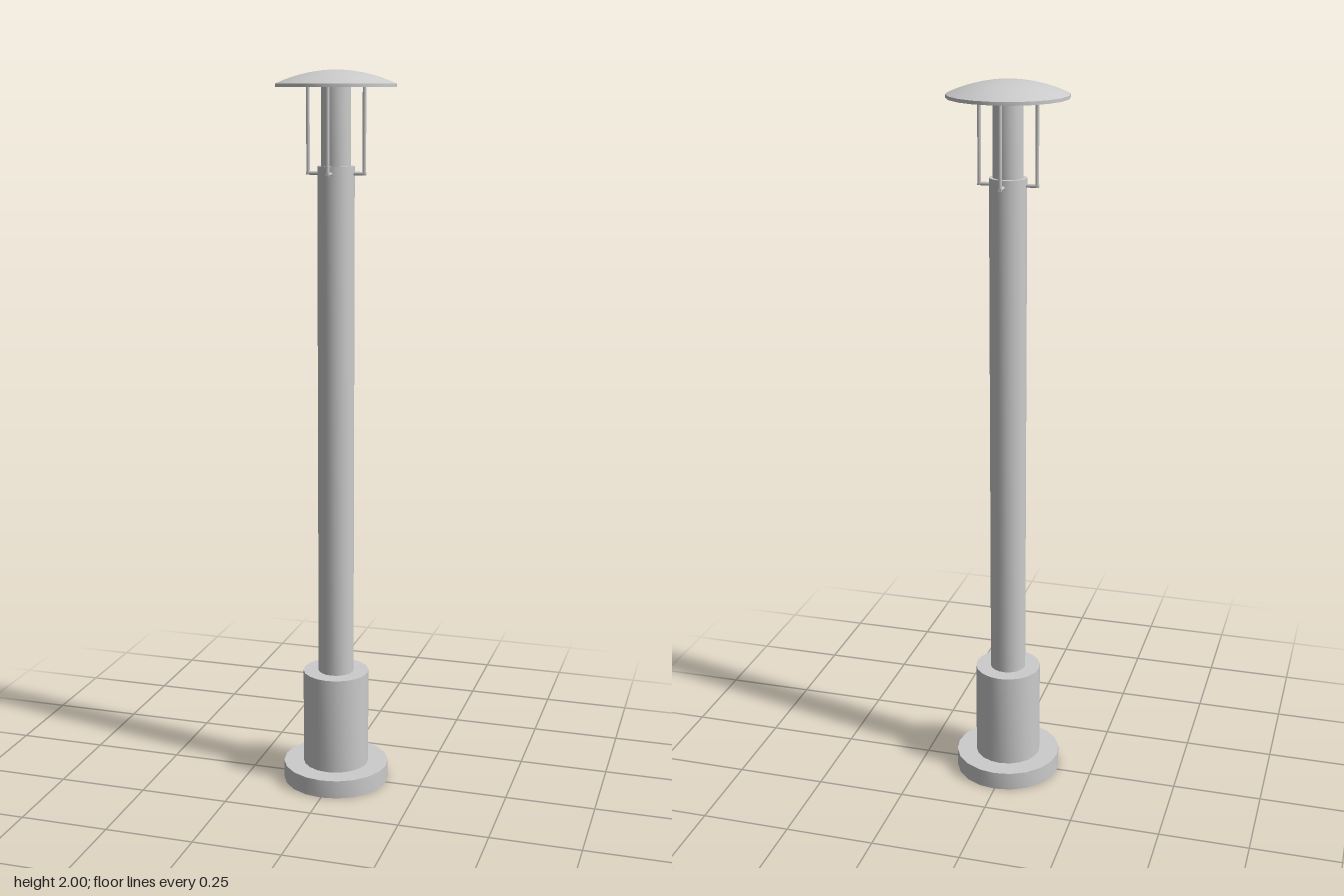
import * as THREE from 'three';
import { toCreasedNormals } from 'three/addons/utils/BufferGeometryUtils.js';

const SIDES = 20;

export function createModel() {
  const model = new THREE.Group();
  const material = new THREE.MeshStandardMaterial({ color: 0xcccccc, side: THREE.DoubleSide });

  // Turned part from [radius, height] pairs, running upwards on the outside
  const turned = (name, profile) => {
    const points = profile.map(([r, y]) => new THREE.Vector2(r, y));
    const mesh = new THREE.Mesh(toCreasedNormals(new THREE.LatheGeometry(points, SIDES), 0.7), material);
    mesh.name = name;
    model.add(mesh);
  };

  // Hollow foot, sleeve, pole and lamp stem
  turned('baseFlange', [[0.15, 0], [0.15, 0.052], [0.093, 0.052]]);
  turned('baseSleeve', [[0.093, 0.052], [0.093, 0.328], [0.05, 0.328]]);
  turned('pole', [[0.05, 0.328], [0.05, 1.75], [0.04, 1.75]]);
  turned('lampStem', [[0.04, 1.75], [0.04, 1.955]]);

  // Domed cap with a thin rim and flat underside
  const cap = [[0, 1.955], [0.161, 1.955], [0.161, 1.964]];
  for (let i = 1; i <= 6; i++) {
    const t = 1 - i / 6;
    cap.push([0.161 * t, 2 - 0.036 * t * t]);
  }
  turned('cap', cap);

  // Four L-shaped brackets holding the cap
  const r = 0.005;
  const upright = new THREE.CylinderGeometry(r, r, 0.23, 8).translate(0.078, 1.842, 0);
  const arm = new THREE.CylinderGeometry(r, r, 0.038, 8).rotateZ(Math.PI / 2).translate(0.064, 1.731, 0);
  for (let i = 0; i < 4; i++) {
    const bracket = new THREE.Group();
    bracket.name = 'capBracket' + (i + 1);
    const post = new THREE.Mesh(upright, material);
    post.name = 'bracketUpright';
    const foot = new THREE.Mesh(arm, material);
    foot.name = 'bracketArm';
    bracket.add(post, foot);
    bracket.rotation.y = (i * Math.PI) / 2;
    model.add(bracket);
  }
  return model;
}
